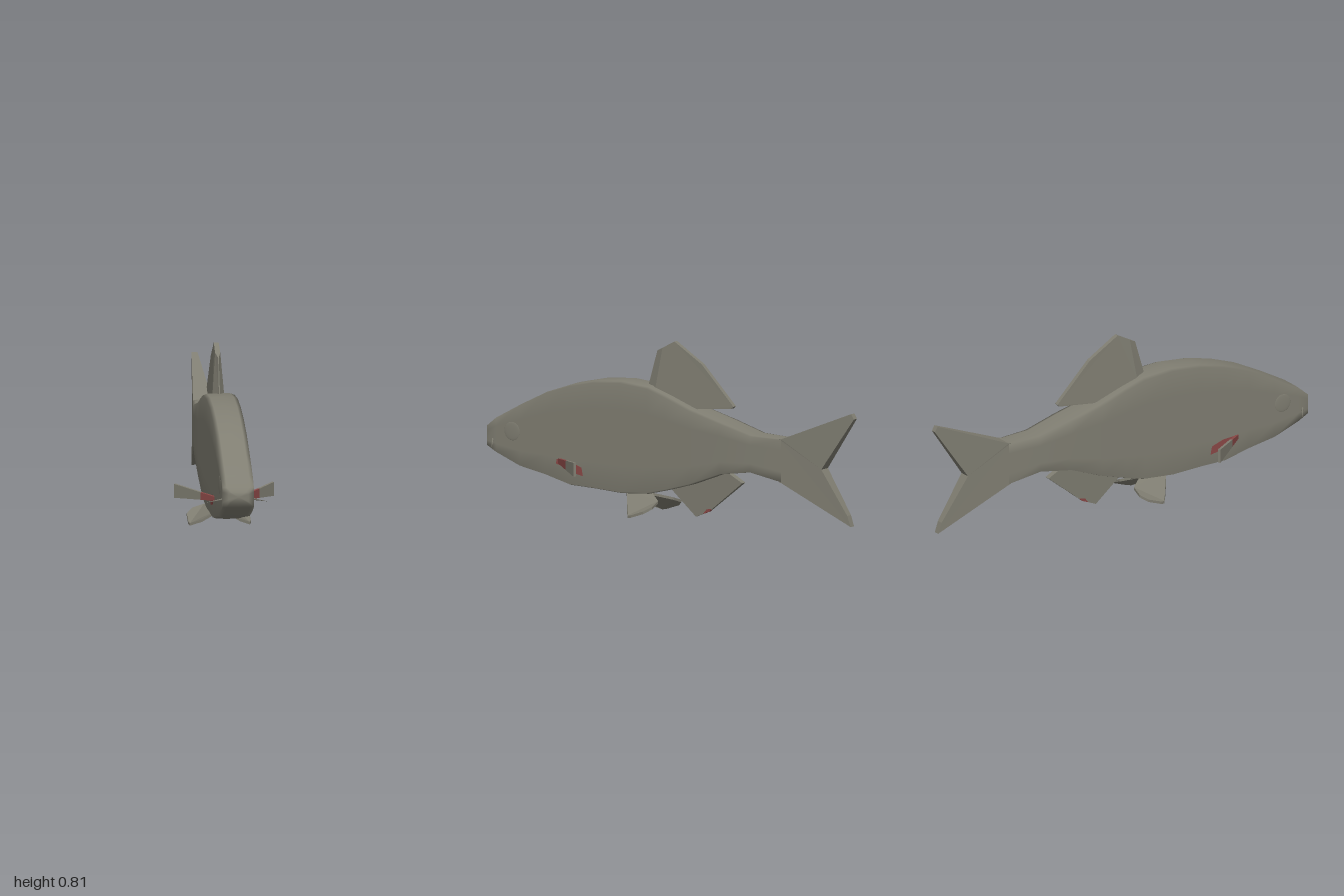
import * as THREE from 'three';

const skin = new THREE.MeshStandardMaterial({ color: 0x807e72 });
skin.name = 'olive grey skin';
const red = new THREE.MeshStandardMaterial({ color: 0x8a4846 });
red.name = 'fin red';

function addMesh(parent, name, geometry, material = skin) {
  const mesh = new THREE.Mesh(geometry, material);
  mesh.name = name;
  parent.add(mesh);
  return mesh;
}

// Slab from a 2D outline; map(a, b, d) places each corner, d being -1 or 1
function slab(outline, map) {
  const shape = new THREE.Shape(outline.map(([a, b]) => new THREE.Vector2(a, b)));
  const geo = new THREE.ExtrudeGeometry(shape, { depth: 1, bevelEnabled: false });
  const pos = geo.attributes.position;
  for (let i = 0; i < pos.count; i++) {
    const d = pos.getZ(i) > 0.5 ? 1 : -1;
    pos.setXYZ(i, ...map(pos.getX(i), pos.getY(i), d));
  }
  geo.computeVertexNormals();
  return geo;
}

// Upright slab on the middle plane, outline in (z, y)
const upright = (outline, half) => slab(outline, (z, y, d) => [-d * half(z, y), y, z]);

// Body lofted through boxy, softly shaded sections: z, top, bottom, half width
function bodyGeometry() {
  const rows = [
    [0.997, 0.318, 0.272, 0.045], [0.98, 0.338, 0.245, 0.071], [0.93, 0.38, 0.217, 0.071],
    [0.8, 0.452, 0.165, 0.071], [0.66, 0.522, 0.138, 0.071], [0.53, 0.568, 0.105, 0.071],
    [0.4, 0.598, 0.102, 0.071], [0.25, 0.612, 0.095, 0.071], [0.1, 0.6, 0.107, 0.071],
    [0, 0.568, 0.133, 0.071], [-0.13, 0.52, 0.172, 0.071], [-0.3, 0.475, 0.238, 0.071],
    [-0.46, 0.432, 0.262, 0.061], [-0.62, 0.43, 0.23, 0.044],
  ];
  const half = [[0, 1], [0.75, 0.996], [1, 0.982], [1, 0.75], [1, 0.25], [1, 0.018], [0.75, 0.004], [0, 0]];
  const ring = [...half, ...half.slice(1, -1).reverse().map(([u, v]) => [-u, v])];
  const n = ring.length;
  const points = [], index = [];
  rows.forEach(([z, top, bottom, w], r) => {
    ring.forEach(([u, v], i) => {
      points.push(u * w, bottom + (top - bottom) * v, z);
      if (r === rows.length - 1) return;
      const a = r * n + i, b = r * n + (i + 1) % n;
      index.push(a, b, a + n, b, b + n, a + n);
    });
  });
  // Nose tip; the rear end is closed by the tail
  const nose = points.length / 3;
  points.push(0, 0.295, 1);
  for (let i = 0; i < n; i++) index.push(nose, (i + 1) % n, i);
  const geo = new THREE.BufferGeometry();
  geo.setAttribute('position', new THREE.Float32BufferAttribute(points, 3));
  geo.setIndex(index);
  geo.computeVertexNormals();
  return geo;
}

// Pelvic fin sloping down and out with a raised rear edge, outline in (z, x)
function pelvicFin(side) {
  const outline = [[0.26, 0], [0.2, 0.085], [0.16, 0.136], [0.14, 0.142], [0.07, 0.142],
    [0.04, 0.115], [0.045, 0.06], [0.12, 0]];
  return slab(outline, (z, x, d) => [
    side * x, 0.0985 - 0.65 * x + 0.35 * (0.16 - z) * (x / 0.142) + side * d * 0.006, z,
  ]);
}

// Pectoral fin swept out and back, between two fractions of its length
function pectoralFin(side, t0, t1) {
  const h = (t) => 0.01 + 0.022 * t;
  const outline = [[t0, 0.213 - h(t0)], [t1, 0.213 - h(t1)], [t1, 0.213 + h(t1)], [t0, 0.213 + h(t0)]];
  return slab(outline, (t, y, d) => {
    const k = side * d * 0.006;
    return [side * (0.065 + 0.158 * t + 0.78 * k * side), y, 0.595 - 0.2 * t + 0.62 * k * side];
  });
}

// Pointed barbel at the mouth corner
function barbel(side) {
  const base = new THREE.Vector3(side * 0.066, 0.278, 0.952);
  const tip = new THREE.Vector3(side * 0.142, 0.255, 0.905);
  const dir = tip.clone().sub(base);
  const geo = new THREE.ConeGeometry(0.005, dir.length(), 6);
  geo.applyQuaternion(new THREE.Quaternion().setFromUnitVectors(
    new THREE.Vector3(0, 1, 0), dir.clone().normalize()));
  const mid = base.add(tip).multiplyScalar(0.5);
  return geo.translate(mid.x, mid.y, mid.z);
}

export function createModel() {
  const model = new THREE.Group();
  model.name = 'fish';
  const trunk = new THREE.Group();
  trunk.name = 'trunk';
  trunk.position.x = 0.006;
  model.add(trunk);

  addMesh(trunk, 'body', bodyGeometry());

  // Forked tail, thinning toward its tips
  addMesh(trunk, 'tailFin', upright(
    [[-0.61, 0.43], [-0.62, 0.43], [-0.985, 0.578], [-1, 0.555], [-0.83, 0.31], [-0.965, 0.11],
      [-0.983, 0.06], [-0.62, 0.23], [-0.61, 0.232]],
    (z) => 0.044 + 0.084 * (Math.min(z, -0.62) + 0.62)));

  // Dorsal fin with a wedge-shaped leading edge
  const dorsalHalf = (z, y) => {
    const behindEdge = 0.14 - 0.294 * (y - 0.59) - z;
    const full = 0.027 - 0.07 * Math.max(0, y - 0.59) - 0.05 * Math.max(0, -z);
    return Math.max(0.006, full) * Math.min(1, 0.1 + Math.max(0, behindEdge) / 0.04);
  };
  addMesh(trunk, 'dorsalFin', upright(
    [[0.085, 0.585], [0.055, 0.777], [-0.01, 0.812], [-0.16, 0.722], [-0.335, 0.545], [-0.325, 0.535],
      [-0.13, 0.515], [0, 0.55]], dorsalHalf));
  addMesh(trunk, 'dorsalFinEdge', upright(
    [[0.14, 0.59], [0.09, 0.76], [0.055, 0.777], [0.085, 0.585]], dorsalHalf));

  // Anal fin with a small red fleck
  const analHalf = (z, y) => 0.005 + 0.04 * y;
  addMesh(trunk, 'analFin', upright(
    [[0.01, 0.15], [0, 0.128], [-0.125, 0.02], [-0.2, 0.052], [-0.385, 0.2], [-0.3, 0.245], [-0.13, 0.19]],
    analHalf));
  addMesh(trunk, 'analFinFleck', upright(
    [[-0.165, 0.037], [-0.2, 0.051], [-0.215, 0.065], [-0.185, 0.06]],
    (z, y) => analHalf(z, y) + 0.001), red);

  for (const side of [1, -1]) {
    const label = side > 0 ? 'left' : 'right';

    // Very low domed eye
    const eye = new THREE.SphereGeometry(1, 20, 12);
    eye.scale(0.003, 0.043, 0.043).translate(side * 0.0705, 0.324, 0.842);
    addMesh(trunk, label + 'Eye', eye);

    addMesh(trunk, label + 'Barbel', barbel(side));
    addMesh(trunk, label + 'PelvicFin', pelvicFin(side));

    // Red patch behind the pectoral root
    addMesh(trunk, label + 'RedPatch', slab(
      [[0.6, 0.2], [0.595, 0.222], [0.52, 0.216], [0.46, 0.195], [0.452, 0.157], [0.53, 0.17], [0.55, 0.187]],
      (z, y, d) => [side * 0.07 - d * 0.002, y, z]), red);

    // Pectoral fin with red next to the body, reaching further on the left
    const redEnd = side > 0 ? 0.52 : 0.32;
    const fin = (t0, t1) => {
      const geo = pectoralFin(1, t0, t1);
      return side > 0 ? geo : mirrored(geo);
    };
    addMesh(model, label + 'PectoralFinRoot', fin(-0.05, redEnd), red);
    addMesh(model, label + 'PectoralFinTip', fin(redEnd, 1));
  }
  return model;
}

// Copy across x = 0, swapping corners so faces stay outward
function mirrored(geo) {
  const pos = geo.attributes.position;
  const p = Array.from(pos.array);
  for (let i = 0; i < pos.count; i++) {
    const from = i % 3 === 0 ? i : i % 3 === 1 ? i + 1 : i - 1;
    pos.setXYZ(i, -p[from * 3], p[from * 3 + 1], p[from * 3 + 2]);
  }
  geo.computeVertexNormals();
  return geo;
}
